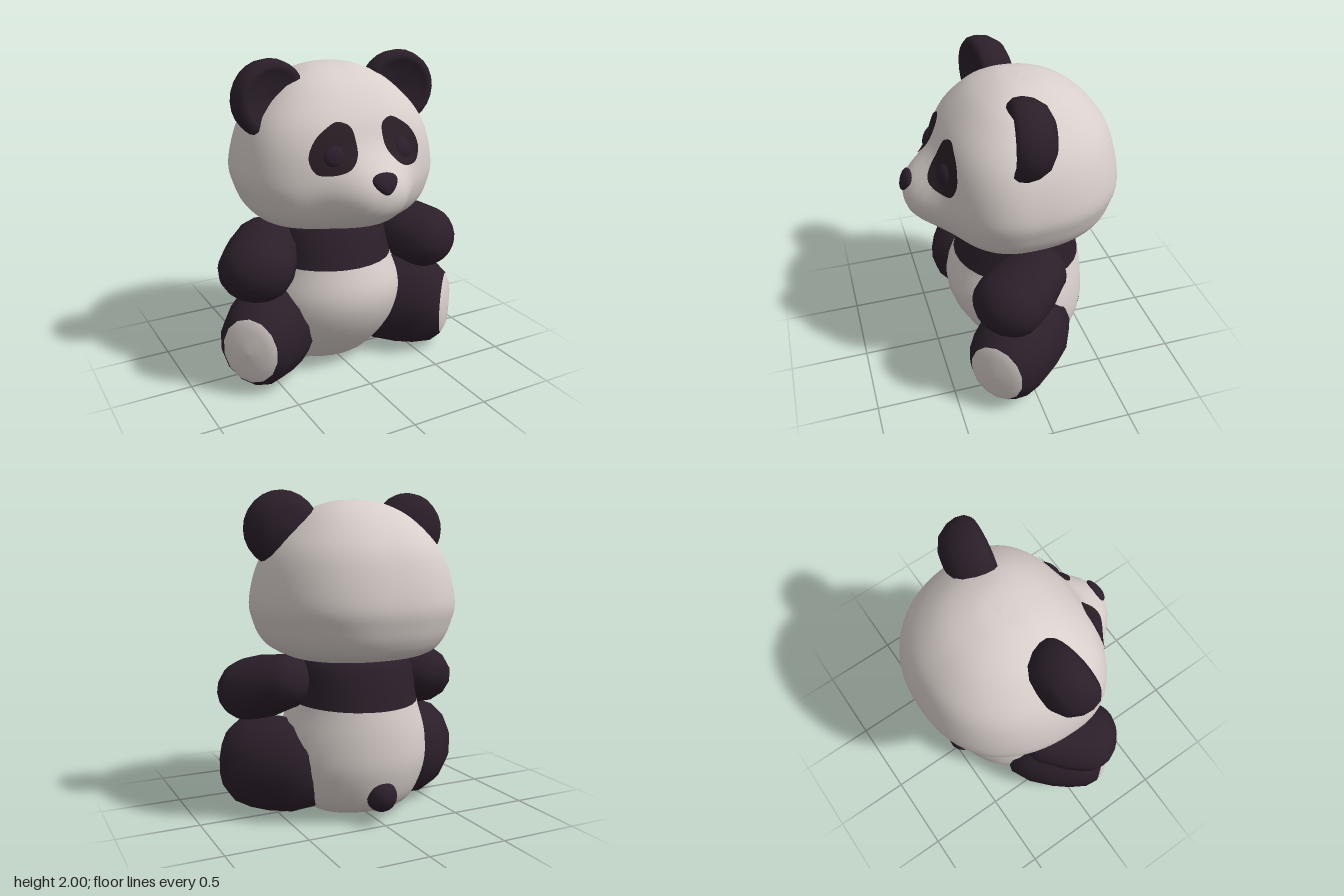
import * as THREE from 'three';

const mat = (name, color) => Object.assign(new THREE.MeshStandardMaterial({ color }), { name });

// Rings are [y, half width, back z, front z]; smooth them into a denser list.
function smoothRings(rings, n) {
  const a = new THREE.CatmullRomCurve3(rings.map(r => new THREE.Vector3(r[0], r[1], r[2])), false, 'catmullrom');
  const b = new THREE.CatmullRomCurve3(rings.map(r => new THREE.Vector3(r[3], 0, 0)), false, 'catmullrom');
  return Array.from({ length: n + 1 }, (_, i) => {
    const p = a.getPoint(i / n);
    return [p.x, Math.max(p.y, 0), p.z, b.getPoint(i / n).x];
  });
}

function buildGeometry(positions, index) {
  const g = new THREE.BufferGeometry();
  g.setAttribute('position', new THREE.Float32BufferAttribute(positions, 3));
  g.setIndex(index);
  g.computeVertexNormals();
  return g;
}

// Closed loops joined upwards; power < 1 squares the section, waist places its widest
// point between back (0) and front (1), adjust moves each vertex.
function loft(rings, segments, power, waist, adjust) {
  const positions = [], index = [];
  const pw = v => Math.sign(v) * Math.abs(v) ** power;
  rings.forEach(([y, w, zb, zf], i) => {
    for (let j = 0; j < segments; j++) {
      const t = (j / segments) * Math.PI * 2, s = Math.sin(t);
      const depth = (zf - zb) * (s > 0 ? 1 - waist : waist);
      const p = new THREE.Vector3(w * pw(Math.cos(t)), y, zb + (zf - zb) * waist + depth * pw(s));
      adjust(p, s);
      positions.push(p.x, p.y, p.z);
      if (i === rings.length - 1) continue;
      const a = i * segments + j, b = i * segments + (j + 1) % segments;
      index.push(a, a + segments, b, a + segments, b + segments, b);
    }
  });
  return buildGeometry(positions, index);
}

// Turned shape whose axis is z; profile is [radius, z].
const turned = (profile, segments) =>
  new THREE.LatheGeometry(profile.map(p => new THREE.Vector2(...p)), segments).rotateX(Math.PI / 2);

// Head cross-sections and the blunt muzzle bulge
const HEAD_POWER = 0.86, HEAD_WAIST = 0.6;
const headRings = smoothRings([
  [0.975, 0, -0.12, -0.12], [0.982, 0.35, -0.38, 0.18], [1.03, 0.485, -0.545, 0.365], [1.1, 0.56, -0.605, 0.435],
  [1.2, 0.605, -0.64, 0.466], [1.32, 0.63, -0.66, 0.472], [1.5, 0.595, -0.63, 0.452], [1.65, 0.525, -0.575, 0.398],
  [1.78, 0.41, -0.47, 0.3], [1.87, 0.295, -0.35, 0.195], [1.93, 0.15, -0.2, 0.06], [1.945, 0, -0.07, -0.07],
], 55);
const muzzle = (x, y) => 0.18 * Math.exp(-(Math.hypot(x / 0.25, (y - 1.25) / 0.215) ** 3.2));

// Front surface of the head at a given x and y
function faceZ(x, y) {
  const i = Math.max(1, headRings.findIndex(r => r[0] >= y));
  const lo = headRings[i - 1], hi = headRings[i];
  const t = (y - lo[0]) / (hi[0] - lo[0]);
  const [, w, zb, zf] = lo.map((v, k) => v + (hi[k] - v) * t);
  const c = Math.min(1, (Math.abs(x) / w) ** (1 / HEAD_POWER));
  const rise = HEAD_WAIST + (1 - HEAD_WAIST) * Math.sqrt(1 - c * c) ** HEAD_POWER;
  return zb + (zf - zb) * rise + muzzle(x, y);
}

// Thin patch that follows the face around one eye
function eyePatchGeometry(side) {
  const outline = [[0.175, 1.67], [0.105, 1.64], [0.09, 1.57], [0.1, 1.495], [0.165, 1.42], [0.265, 1.387],
    [0.335, 1.397], [0.366, 1.48], [0.32, 1.58], [0.245, 1.64]].map(([x, y]) => new THREE.Vector3(x * side, y, 0));
  if (side < 0) outline.reverse();
  const n = 40, steps = 7, positions = [], index = [];
  const loop = new THREE.CatmullRomCurve3(outline, true).getPoints(n).slice(0, n);
  for (let k = 0; k <= steps; k++) {
    loop.forEach((p, j) => {
      const x = 0.225 * side + (p.x - 0.225 * side) * k / steps, y = 1.52 + (p.y - 1.52) * k / steps;
      positions.push(x, y, faceZ(x, y) + 0.008);
      if (k === steps) return;
      const a = k * n + j, b = k * n + (j + 1) % n;
      index.push(a, a + n, b, a + n, b + n, b);
    });
  }
  return buildGeometry(positions, index);
}

// Leg and foot pad are taller than wide, more so towards the foot
function legGeometry(profile) {
  const g = turned(profile, 14).scale(1, 1.08, 1), p = g.attributes.position;
  for (let i = 0; i < p.count; i++) p.setX(i, p.getX(i) * (1.02 - 0.25 * p.getZ(i) ** 2));
  return g;
}

export function createModel() {
  const model = new THREE.Group();
  model.name = 'toyBear';
  const light = mat('light fur', 0xd8cfcb), dark = mat('dark fur', 0x2b1f2a);
  const patch = mat('eye patch', 0x291e25), shiny = mat('eyes and nose', 0x2b1f2c);
  const add = (name, geometry, material, x = 0, y = 0, z = 0) => {
    const mesh = new THREE.Mesh(geometry, material);
    mesh.name = name;
    mesh.position.set(x, y, z);
    model.add(mesh);
    return mesh;
  };

  // Head with muzzle
  add('head', loft(headRings, 72, HEAD_POWER, HEAD_WAIST, (p, s) => {
    if (s > 0) p.z += muzzle(p.x, p.y);
  }), light);

  // Body: light belly and dark chest band
  const bodyRings = smoothRings([
    [0, 0, -0.08, -0.08], [0.012, 0.22, -0.24, 0.08], [0.09, 0.35, -0.41, 0.19], [0.3, 0.46, -0.49, 0.345],
    [0.5, 0.465, -0.5, 0.405], [0.715, 0.4, -0.47, 0.35], [0.98, 0.35, -0.385, 0.22], [1.05, 0.2, -0.25, 0.1],
  ], 35);
  const lean = p => { p.y += 0.045 * p.z * Math.min(1, p.y * 2); };
  add('belly', loft(bodyRings.slice(0, 26), 28, 1, 0.5, lean), light);
  add('chest', loft(bodyRings.slice(25), 28, 1, 0.5, lean), dark);

  // Tail
  add('tail', new THREE.SphereGeometry(0.097, 14, 10), dark, 0, 0.17, -0.442);

  // Nose, wider at the top and set on the slope of the muzzle
  const nose = new THREE.SphereGeometry(1, 20, 14);
  const np = nose.attributes.position;
  for (let i = 0; i < np.count; i++) np.setX(i, np.getX(i) * (0.95 + 0.38 * np.getY(i)));
  nose.scale(0.079, 0.066, 0.03);
  nose.computeVertexNormals();
  add('nose', nose, shiny, 0, 1.347, faceZ(0, 1.347) - 0.008).rotation.x = -0.45;

  // Cupped ear
  const ear = turned([[0, -0.142], [0.11, -0.132], [0.18, -0.095], [0.222, -0.03], [0.235, 0.03], [0.228, 0.08],
    [0.205, 0.107], [0.175, 0.1], [0.12, 0.075], [0, 0.06]], 24);

  // Broad arm, thicker at the paw
  const shoulder = [0.455, 0.845, -0.045], paw = [0.606, 0.773, 0.165];
  const armLength = Math.hypot(...paw.map((v, i) => v - shoulder[i]));
  const armProfile = [];
  for (let i = 0; i <= 12; i++) {
    const t = (i / 12 - 0.5) * Math.PI;
    if (i <= 6) armProfile.push([0.17 * Math.cos(t), 0.17 * Math.sin(t)]);
    if (i === 6) armProfile.push([0.194, armLength / 2]);
    if (i >= 6) armProfile.push([0.197 * Math.cos(t), armLength + 0.197 * Math.sin(t)]);
  }
  armProfile[0][0] = armProfile[armProfile.length - 1][0] = 0;
  const arm = turned(armProfile, 14).scale(1.18, 1, 1);

  // Leg ending in a foot pad
  const leg = legGeometry([[0, 0.035], [0.13, 0.045], [0.225, 0.1], [0.272, 0.24], [0.282, 0.4], [0.275, 0.52],
    [0.25, 0.635], [0.197, 0.7]]);
  const pad = legGeometry([[0.197, 0.7], [0.14, 0.728], [0, 0.738]]);

  for (const s of [1, -1]) {
    const side = s > 0 ? 'left' : 'right';
    add(side + 'Ear', ear, dark, 0.442 * s, 1.765, 0).rotation.y = -0.14 * s;
    add(side + 'Arm', arm, dark, shoulder[0] * s, shoulder[1], shoulder[2]).lookAt(paw[0] * s, paw[1], paw[2]);
    for (const [name, geometry, material] of [['Leg', leg, dark], ['FootPad', pad, light]]) {
      add(side + name, geometry, material, 0.2 * s, 0.305, -0.21).rotation.y = Math.atan2(0.72 * s, 0.69);
    }

    // Eye patch and domed eye set square to the face
    add(side + 'EyePatch', eyePatchGeometry(s), patch);
    const x = 0.228 * s, y = 1.49, z = faceZ(x, y), e = 0.02;
    const eye = add(side + 'Eye', new THREE.SphereGeometry(1, 20, 14).scale(0.063, 0.063, 0.026), shiny, x, y, z);
    eye.lookAt(x - (faceZ(x + e, y) - faceZ(x - e, y)) / (2 * e), y - (faceZ(x, y + e) - faceZ(x, y - e)) / (2 * e), z + 1);
  }
  return model;
}
